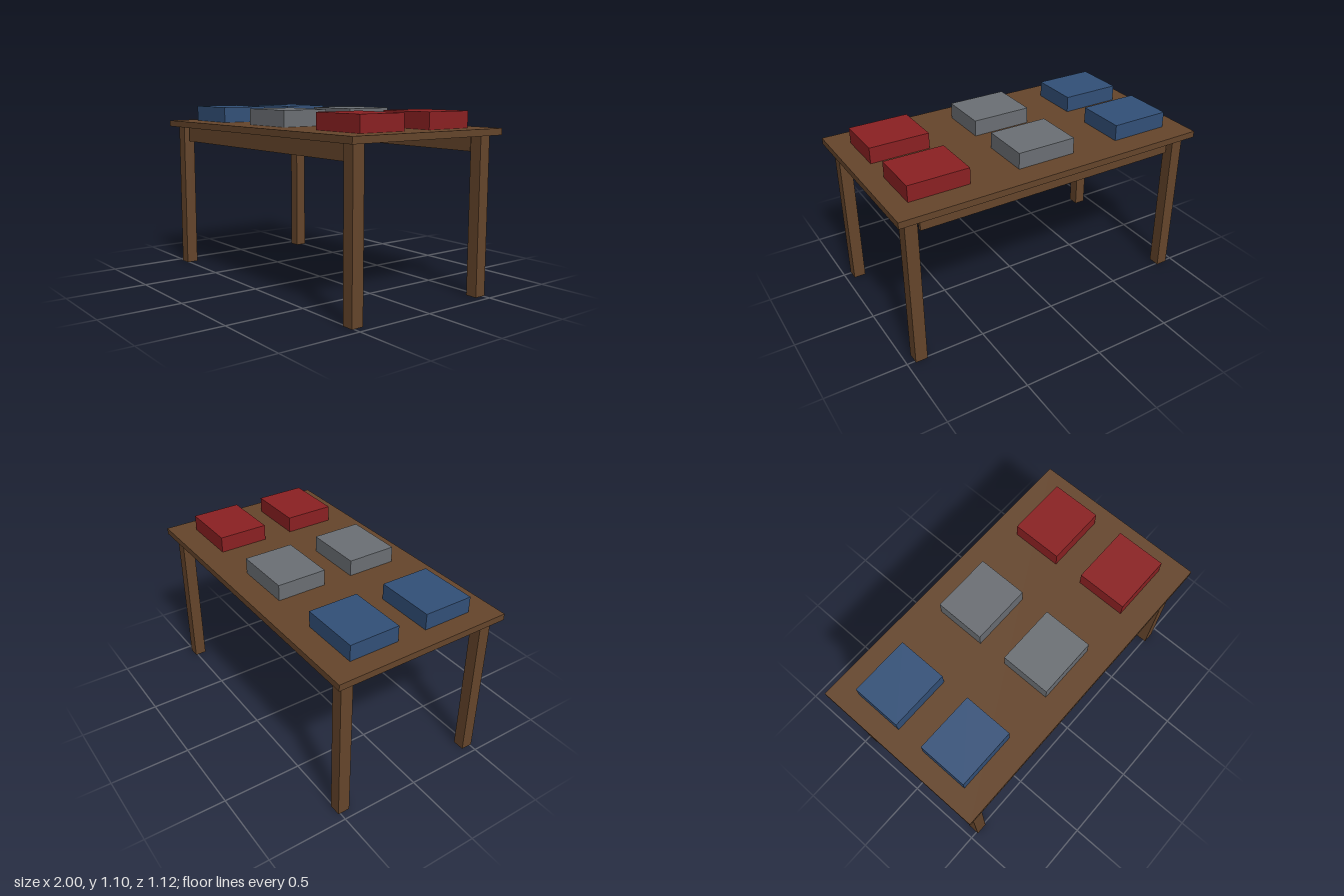
import * as THREE from 'three';

function material(name, color) {
  const m = new THREE.MeshStandardMaterial({ color });
  m.name = name;
  return m;
}

export function createModel() {
  const model = new THREE.Group();
  model.name = 'table';

  const wood = material('brown wood', 0x65452b);
  const blue = material('blue', 0x325078);
  const grey = material('grey', 0x6b6f74);
  const red = material('red', 0x8b2022);

  // Box given by its size, centre and bottom height
  function box(name, mat, w, h, d, x, bottom, z) {
    const mesh = new THREE.Mesh(new THREE.BoxGeometry(w, h, d), mat);
    mesh.name = name;
    mesh.position.set(x, bottom + h / 2, z);
    model.add(mesh);
  }

  box('tabletop', wood, 2, 0.04, 1.12, 0, 0.96, 0);

  for (const side of [1, -1]) {
    const end = side > 0 ? 'front' : 'back';

    // Long rail between the legs
    box(end + 'Rail', wood, 1.7, 0.1, 0.025, 0, 0.86, side * 0.475);

    // Legs
    box(end + 'LeftLeg', wood, 0.075, 0.96, 0.075, 0.9125, 0, side * 0.475);
    box(end + 'RightLeg', wood, 0.075, 0.96, 0.075, -0.9125, 0, side * 0.475);

    // Row of three blocks lying on the top
    [blue, grey, red].forEach((mat, i) => {
      box(end + 'Block' + (i + 1), mat, 0.375, 0.1, 0.3125, (i - 1) * 0.6875, 1, side * 0.25);
    });
  }

  return model;
}
